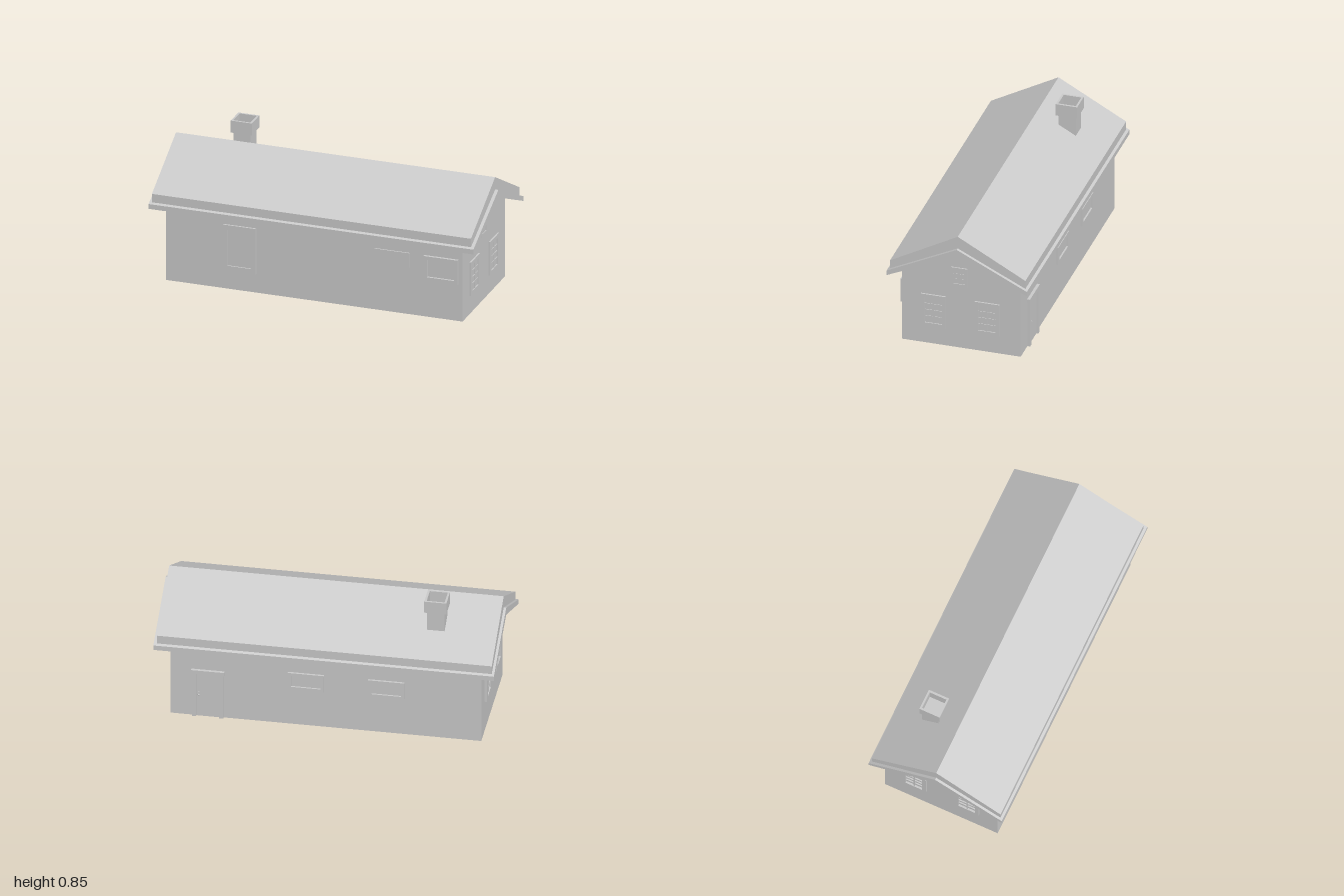
import * as THREE from 'three';

const X0 = -0.915, X1 = 0.91, Z = 0.36;

export function createModel() {
  const house = new THREE.Group();
  house.name = 'house';
  const mat = new THREE.MeshStandardMaterial({ color: 0xcccccc, flatShading: true });
  const thin = new THREE.MeshStandardMaterial({ color: 0xcccccc, flatShading: true, side: THREE.DoubleSide });

  const add = (parent, name, geo, m = mat) => {
    const mesh = new THREE.Mesh(geo, m);
    mesh.name = name;
    parent.add(mesh);
    return mesh;
  };
  const box = (parent, name, x0, x1, y0, y1, z0, z1) =>
    add(parent, name, new THREE.BoxGeometry(x1 - x0, y1 - y0, z1 - z0)
      .translate((x0 + x1) / 2, (y0 + y1) / 2, (z0 + z1) / 2));
  const polygon = pts => new THREE.Shape(pts.map(p => new THREE.Vector2(...p)));
  const rect = (x0, x1, y0, y1) => [[x0, y0], [x1, y0], [x1, y1], [x0, y1]];
  // Rectangular ring, extruded from depth z0 to z1
  const ring = (outer, inner, z0, z1) => {
    const s = polygon(rect(...outer));
    s.holes.push(polygon(rect(...inner).reverse()));
    return new THREE.ExtrudeGeometry(s, { depth: z1 - z0, bevelEnabled: false }).translate(0, 0, z0);
  };

  // Wall shell, open underneath
  const gable = polygon([[-Z, 0], [Z, 0], [Z, 0.489], [0, 0.65], [-Z, 0.489]]);
  const side = polygon(rect(X0, X1, 0, 0.489));
  add(house, 'frontWall', new THREE.ShapeGeometry(side).translate(0, 0, Z), thin);
  add(house, 'backWall', new THREE.ShapeGeometry(side).translate(0, 0, -Z), thin);
  add(house, 'leftGable', new THREE.ShapeGeometry(gable).rotateY(Math.PI / 2).translate(X1, 0, 0), thin);
  add(house, 'rightGable', new THREE.ShapeGeometry(gable).rotateY(-Math.PI / 2).translate(X0, 0, 0), thin);

  // Two stacked roof layers, each a chevron swept along x
  const roofLayer = (name, x0, x1, z, eaveLow, eaveTop, apexLow, apexTop) => {
    const s = polygon([[-z, eaveLow], [0, apexLow], [z, eaveLow], [z, eaveTop], [0, apexTop], [-z, eaveTop]]);
    add(house, name, new THREE.ExtrudeGeometry(s, { depth: x1 - x0, bevelEnabled: false })
      .rotateY(Math.PI / 2).translate(x0, 0, 0));
  };
  roofLayer('lowerRoof', -1, 1, 0.425, 0.46, 0.49, 0.65, 0.698);
  roofLayer('upperRoof', -0.985, 0.98, 0.41, 0.495, 0.55, 0.695, 0.775);

  // Chimney with a hollow cap
  const chimney = new THREE.Group();
  chimney.name = 'chimney';
  house.add(chimney);
  box(chimney, 'chimneyShaft', -0.678, -0.573, 0.6, 0.772, -0.233, -0.127);
  add(chimney, 'chimneyCap', ring([-0.69, -0.56, 0.115, 0.245], [-0.678, -0.573, 0.127, 0.233], 0.77, 0.845)
    .rotateX(-Math.PI / 2));

  // Local frame on each wall: x to the viewer's right, y up, z outward
  const wallFrame = (name, x, z, angle) => {
    const g = new THREE.Group();
    g.name = name;
    g.position.set(x, 0, z);
    g.rotation.y = angle;
    house.add(g);
    return g;
  };
  const front = wallFrame('frontOpenings', 0, Z, 0);
  const back = wallFrame('backOpenings', 0, -Z, Math.PI);
  const left = wallFrame('leftOpenings', X1, 0, Math.PI / 2);
  const right = wallFrame('rightOpenings', X0, 0, -Math.PI / 2);

  // Window: frame, recessed pane and an optional grid of bars
  const addWindow = (wall, x0, x1, y0, y1, border, out, cols = 1, rows = 1) => {
    const w = new THREE.Group();
    w.name = 'window';
    wall.add(w);
    const [a, b, c, d] = [x0 + border, x1 - border, y0 + border, y1 - border];
    add(w, 'windowFrame', ring([x0, x1, y0, y1], [a, b, c, d], -0.008, out));
    box(w, 'windowPane', a, b, c, d, -0.004, 0.003);
    for (let i = 1; i < cols; i++) {
      const x = a + (b - a) * i / cols;
      box(w, 'uprightBar', x - 0.004, x + 0.004, c, d, -0.006, out * 0.7);
    }
    for (let i = 1; i < rows; i++) {
      const y = c + (d - c) * i / rows;
      box(w, 'crossBar', a, b, y - 0.004, y + 0.004, -0.006, out * 0.7);
    }
  };

  addWindow(front, -0.563, -0.36, 0.118, 0.403, 0.03, 0.011);
  box(front, 'shutterPanel', 0.37, 0.585, 0.293, 0.385, -0.004, 0.008);
  addWindow(front, 0.675, 0.885, 0.232, 0.385, 0.022, 0.016);
  addWindow(back, -0.22, -0.008, 0.24, 0.353, 0.02, 0.013);
  addWindow(back, 0.252, 0.466, 0.24, 0.353, 0.02, 0.013);
  addWindow(left, -0.243, -0.092, 0.115, 0.325, 0.023, 0.01, 2, 4);
  addWindow(left, 0.082, 0.233, 0.115, 0.325, 0.023, 0.01, 2, 4);
  addWindow(left, -0.06, 0.038, 0.41, 0.53, 0.014, 0.008, 2, 3);
  for (const x of [-0.168, 0.168]) addWindow(right, x - 0.076, x + 0.076, 0.197, 0.405, 0.023, 0.015, 2, 4);

  // Back door with jambs, lintel, leaf and knob
  const door = new THREE.Group();
  door.name = 'door';
  back.add(door);
  box(door, 'doorJamb', -0.782, -0.757, 0.002, 0.29, -0.004, 0.018);
  box(door, 'doorJamb', -0.623, -0.598, 0.002, 0.29, -0.004, 0.018);
  box(door, 'doorLintel', -0.787, -0.593, 0.29, 0.315, -0.004, 0.018);
  box(door, 'doorLeaf', -0.757, -0.623, 0.002, 0.29, -0.004, 0.006);
  box(door, 'doorPlate', -0.748, -0.738, 0.13, 0.165, 0.006, 0.009);
  add(door, 'doorKnob', new THREE.SphereGeometry(0.006, 8, 6).translate(-0.743, 0.148, 0.013));

  return house;
}
